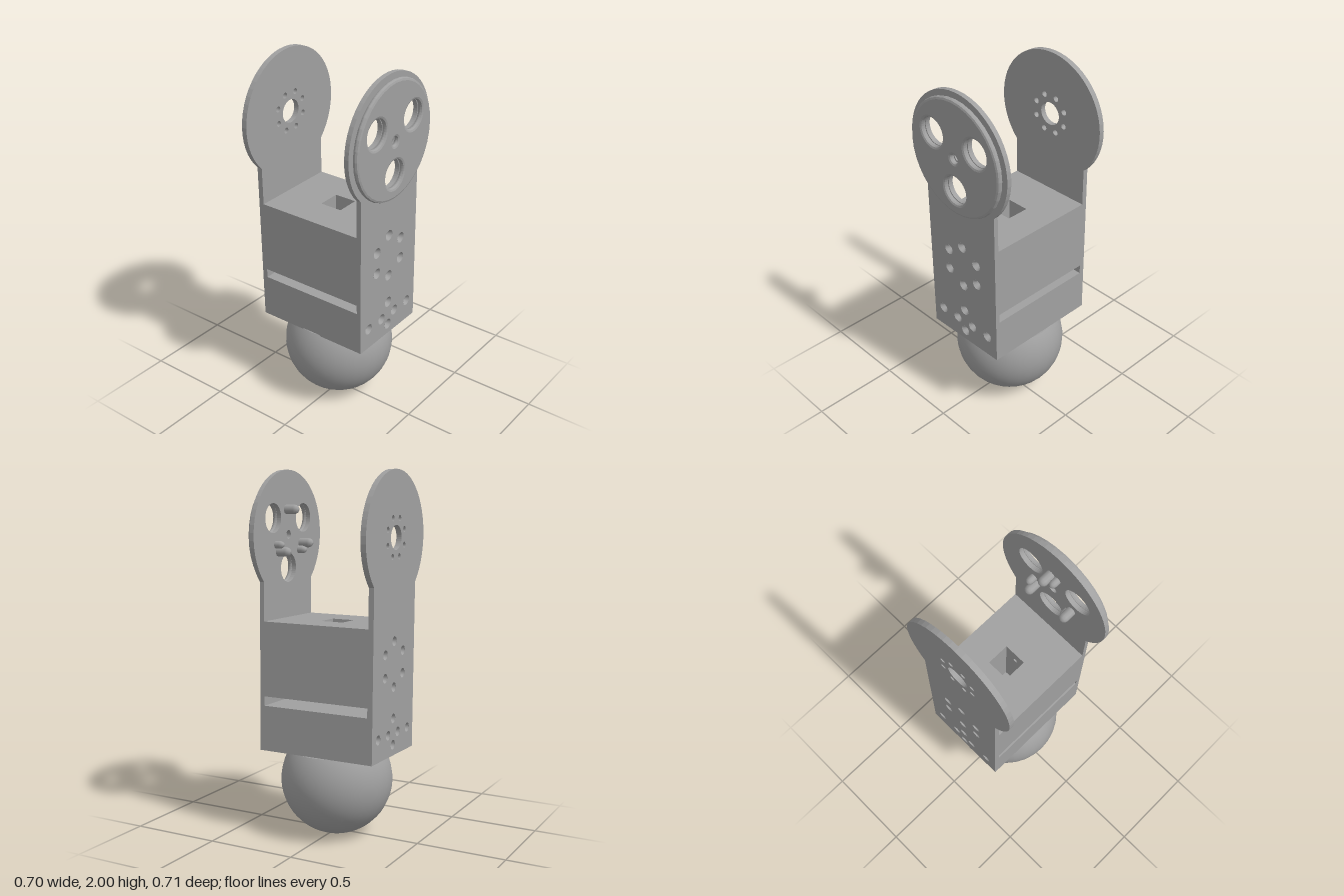
import * as THREE from 'three';

const grey = new THREE.MeshStandardMaterial({ color: 0xa0a0a0 });
grey.name = 'grey';
const greyInside = new THREE.MeshStandardMaterial({ color: 0xa0a0a0, side: THREE.DoubleSide });
greyInside.name = 'grey open surface';

const HALF = 0.252, HEAD = 0.352;

// Hole centres, relative to the middle of the round head
const screws = [[0, -0.965], [0, -1.11], [-0.06, -1.048], [0.06, -1.048], [-0.18, -1.048], [0.18, -1.048]];
for (let i = 0; i < 6; i++) {
  const a = Math.PI / 2 + i * Math.PI / 3;
  screws.push([0.124 * Math.cos(a), -0.67 + 0.124 * Math.sin(a)]);
}
const windows = [30, 150, 270].map(d => {
  const a = d * Math.PI / 180;
  return [0.182 * Math.cos(a), 0.182 * Math.sin(a)];
});

function addHole(shape, x, y, r) {
  const path = new THREE.Path();
  path.absarc(x, y, r, 0, Math.PI * 2, true);
  shape.holes.push(path);
}

// Extrudes a shape from z0 to z1
function slab(name, shape, z0, z1, segments = 8) {
  const geo = new THREE.ExtrudeGeometry(shape, { depth: z1 - z0, bevelEnabled: false, curveSegments: segments });
  geo.translate(0, 0, z0);
  const mesh = new THREE.Mesh(geo, grey);
  mesh.name = name;
  return mesh;
}

// Straight arm that ends in a round head
function armShape() {
  const s = new THREE.Shape();
  const a = Math.acos(HALF / HEAD);
  s.moveTo(-HALF, -1.17);
  s.lineTo(HALF, -1.17);
  s.absarc(0, 0, HEAD, -a, Math.PI + a, false);
  s.closePath();
  return s;
}

// Block piece with the screw bores that fall inside it
function block(name, x0, x1, y0, y1, z0, z1) {
  const s = new THREE.Shape();
  s.moveTo(x0, y0); s.lineTo(x1, y0); s.lineTo(x1, y1); s.lineTo(x0, y1); s.closePath();
  for (const [x, y] of screws) {
    if (x > x0 && x < x1 && y > y0 && y < y1) addHole(s, x, y, 0.014);
  }
  return slab(name, s, z0, z1);
}

export function createModel() {
  const model = new THREE.Group();
  model.name = 'armLink';

  // The bracket leans very slightly about its head
  const bracket = new THREE.Group();
  bracket.name = 'bracket';
  bracket.position.y = 1.648;
  bracket.rotation.z = 0.0165;
  model.add(bracket);

  // Front plate
  const front = armShape();
  screws.forEach(([x, y]) => addHole(front, x, y, 0.03));
  windows.forEach(([x, y]) => addHole(front, x, y, 0.08));
  addHole(front, 0, 0, 0.024);
  bracket.add(slab('frontPlate', front, 0.3, 0.326, 20));

  // Back plate with a hub opening and a ring of small holes
  const back = armShape();
  screws.forEach(([x, y]) => addHole(back, x, y, 0.026));
  addHole(back, 0, 0, 0.065);
  for (let i = 0; i < 8; i++) {
    const a = i * Math.PI / 4 + Math.PI / 8;
    addHole(back, 0.108 * Math.cos(a), 0.108 * Math.sin(a), 0.016);
  }
  bracket.add(slab('backPlate', back, -0.356, -0.326, 20));

  // Countersinks of the screw holes
  for (const [x, y] of screws) {
    for (const [z, outer, sign] of [[0.313, 0.03, 1], [-0.341, 0.026, -1]]) {
      const sink = new THREE.Mesh(new THREE.CylinderGeometry(outer, 0.014, 0.026, 12, 1, true), greyInside);
      sink.name = 'countersink';
      sink.rotation.x = sign * Math.PI / 2;
      sink.position.set(x, y, z);
      bracket.add(sink);
    }
  }

  // Bevelled disc on the front of the head
  const disc = new THREE.Shape();
  disc.absarc(0, 0, 0.31, 0, Math.PI * 2, false);
  windows.forEach(([x, y]) => addHole(disc, x, y, 0.092));
  addHole(disc, 0, 0, 0.038);
  const discGeo = new THREE.ExtrudeGeometry(disc, {
    depth: 0.005, bevelThickness: 0.013, bevelSize: 0.014, bevelSegments: 2, curveSegments: 18
  });
  discGeo.translate(0, 0, 0.338);
  const cover = new THREE.Mesh(discGeo, grey);
  cover.name = 'frontDisc';
  bracket.add(cover);

  // Three pairs of round-ended pegs behind the front disc
  for (const deg of [90, 210, 330]) {
    const a = deg * Math.PI / 180;
    for (const [shift, length, r] of [[0.024, 0.08, 0.026], [-0.02, 0.052, 0.021]]) {
      const profile = [[0, length], [r * 0.5, length - 0.003], [r * 0.85, length - 0.012], [r, length - 0.025], [r, 0]]
        .map(([px, py]) => new THREE.Vector2(px, py)).reverse();
      const peg = new THREE.Mesh(new THREE.LatheGeometry(profile, 10), grey);
      peg.name = 'peg';
      peg.rotation.x = -Math.PI / 2;
      peg.position.set(0.138 * Math.cos(a) + shift * Math.sin(a), 0.138 * Math.sin(a) - shift * Math.cos(a), 0.301);
      bracket.add(peg);
    }
  }

  // Body: lower block, then an upper block around a square shaft, with a slot between
  const z0 = -0.326, z1 = 0.3, low = -0.868, high = -0.458;
  bracket.add(
    block('lowerBlock', -HALF, HALF, -1.17, -0.92, z0, z1),
    block('upperBlockRight', -HALF, -0.06, low, high, z0, z1),
    block('upperBlockLeft', 0.07, HALF, low, high, z0, z1),
    block('upperBlockFront', -0.06, 0.07, low, high, 0.05, z1),
    block('upperBlockBack', -0.06, 0.07, low, high, z0, -0.08)
  );

  // Ball foot, cut flat where it meets the body
  const R = 0.31, cut = Math.acos(0.17 / R);
  const ball = new THREE.Group();
  ball.name = 'ballFoot';
  ball.position.set(0.02, R, -0.015);
  const bowl = new THREE.Mesh(new THREE.SphereGeometry(R, 32, 18, 0, Math.PI * 2, cut, Math.PI - cut), grey);
  bowl.name = 'ball';
  const cap = new THREE.Mesh(new THREE.CircleGeometry(R * Math.sin(cut), 32), grey);
  cap.name = 'ballTop';
  cap.rotation.x = -Math.PI / 2;
  cap.position.y = 0.17;
  ball.add(bowl, cap);
  model.add(ball);

  return model;
}
